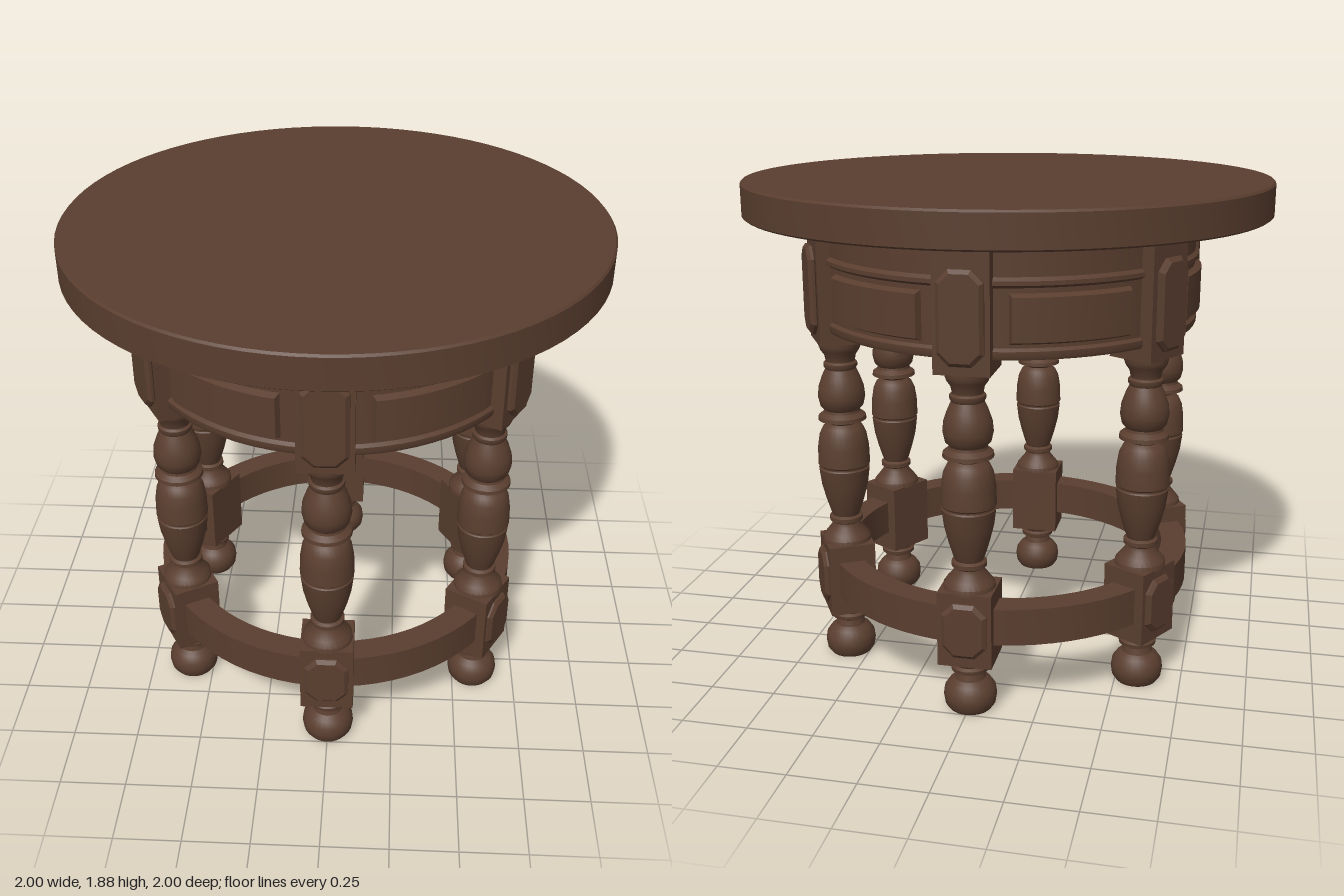
import * as THREE from 'three';
import { toCreasedNormals } from 'three/addons/utils/BufferGeometryUtils.js';

const wood = new THREE.MeshStandardMaterial({ color: 0x5a3e2f });
wood.name = 'dark brown wood';

const LEG_RADIUS = 0.67;

function part(name, geometry, parent) {
  const mesh = new THREE.Mesh(geometry, wood);
  mesh.name = name;
  parent.add(mesh);
  return mesh;
}

// Turned shape from [radius, height] pairs, listed upwards on the outside
function turned(pairs, segments) {
  const points = pairs.map(([r, y]) => new THREE.Vector2(r, y));
  return toCreasedNormals(new THREE.LatheGeometry(points, segments), 0.6);
}

// Square block between two heights
function block(width, y0, y1, depth) {
  return new THREE.BoxGeometry(width, y1 - y0, depth).translate(0, (y0 + y1) / 2, 0);
}

// Bevelled plate with clipped corners
function clippedPlate(w, y0, y1) {
  const b = 0.014, c = 0.035, x = w / 2 - b, lo = y0 + b, hi = y1 - b;
  const shape = new THREE.Shape([
    [-x + c, lo], [x - c, lo], [x, lo + c], [x, hi - c],
    [x - c, hi], [-x + c, hi], [-x, hi - c], [-x, lo + c],
  ].map(([px, py]) => new THREE.Vector2(px, py)));
  return new THREE.ExtrudeGeometry(shape, {
    depth: 0.01, bevelEnabled: true, bevelThickness: 0.012, bevelSize: b, bevelSegments: 1,
  });
}

// Raised panel bent around the apron, its outer face drawn in by a bevel
function curvedPanel(halfAngle, y0, y1, r0, r1, bevel) {
  const geo = new THREE.BoxGeometry(2, 2, 2, 14, 1, 1);
  const p = geo.attributes.position;
  for (let i = 0; i < p.count; i++) {
    const outer = p.getZ(i) > 0;
    const inset = outer ? bevel : 0;
    const a = p.getX(i) * (halfAngle - inset / r1);
    const r = outer ? r1 : r0;
    const y = (y0 + y1) / 2 + p.getY(i) * ((y1 - y0) / 2 - inset);
    p.setXYZ(i, Math.sin(a) * r, y, Math.cos(a) * r);
  }
  return toCreasedNormals(geo, 0.3);
}

export function createModel() {
  const table = new THREE.Group();
  table.name = 'roundTable';

  // Round top with softly eased edges
  part('tableTop', turned([
    [0, 1.75], [0.99, 1.75], [1, 1.757], [1, 1.872], [0.993, 1.88], [0, 1.88],
  ], 80), table);

  // Hollow apron with a moulding line above the panels
  part('apron', turned([
    [0.66, 1.34], [0.725, 1.34], [0.73, 1.35], [0.73, 1.37], [0.718, 1.38],
    [0.718, 1.585], [0.732, 1.595], [0.732, 1.61], [0.718, 1.622],
    [0.718, 1.752], [0.66, 1.752], [0.66, 1.34],
  ], 72), table);

  // Ring stretcher
  part('stretcherRing', turned([
    [0.63, 0.28], [0.73, 0.28], [0.73, 0.42], [0.63, 0.42], [0.63, 0.28],
  ], 72), table);

  // Geometry shared by the six legs
  const foot = turned([
    [0, 0], [0.08, 0], [0.094, 0.02], [0.099, 0.05], [0.095, 0.08], [0.078, 0.105],
    [0.058, 0.12], [0.052, 0.145], [0.07, 0.155], [0.072, 0.17], [0.06, 0.178], [0.075, 0.202],
  ], 28);
  const baluster = turned([
    [0.096, 0.478], [0.094, 0.5], [0.078, 0.52], [0.058, 0.545], [0.054, 0.56],
    [0.064, 0.567], [0.064, 0.583], [0.052, 0.59], [0.058, 0.605], [0.075, 0.66],
    [0.09, 0.72], [0.098, 0.785], [0.094, 0.79], [0.094, 0.796], [0.1, 0.802],
    [0.098, 0.87], [0.09, 0.92], [0.076, 0.95], [0.056, 0.965], [0.07, 0.975],
    [0.092, 0.98], [0.09, 0.995], [0.07, 1.01], [0.068, 1.02], [0.082, 1.035],
    [0.09, 1.07], [0.086, 1.11], [0.072, 1.15], [0.058, 1.18], [0.064, 1.19],
    [0.064, 1.203], [0.055, 1.21], [0.06, 1.235], [0.074, 1.255], [0.08, 1.27], [0.08, 1.292],
  ], 28);
  const lowerBlock = block(0.2, 0.2, 0.485, 0.18);
  const upperBlock = block(0.2, 1.29, 1.752, 0.18);
  const lowerPlate = clippedPlate(0.165, 0.24, 0.45);
  const upperPlate = clippedPlate(0.165, 1.325, 1.655);
  const panel = curvedPanel(0.32, 1.385, 1.575, 0.7, 0.742, 0.018);

  for (let i = 0; i < 6; i++) {
    const leg = new THREE.Group();
    leg.name = 'leg' + (i + 1);
    const a = i * Math.PI / 3;
    leg.position.set(Math.sin(a) * LEG_RADIUS, 0, Math.cos(a) * LEG_RADIUS);
    leg.rotation.y = a;
    part('foot', foot, leg);
    part('lowerBlock', lowerBlock, leg);
    part('turnedBaluster', baluster, leg);
    part('upperBlock', upperBlock, leg);
    part('lowerPlate', lowerPlate, leg).position.z = 0.087;
    part('upperPlate', upperPlate, leg).position.z = 0.095;
    table.add(leg);

    // Raised apron panel between this leg and the next
    part('apronPanel', panel, table).rotation.y = a + Math.PI / 6;
  }
  return table;
}
